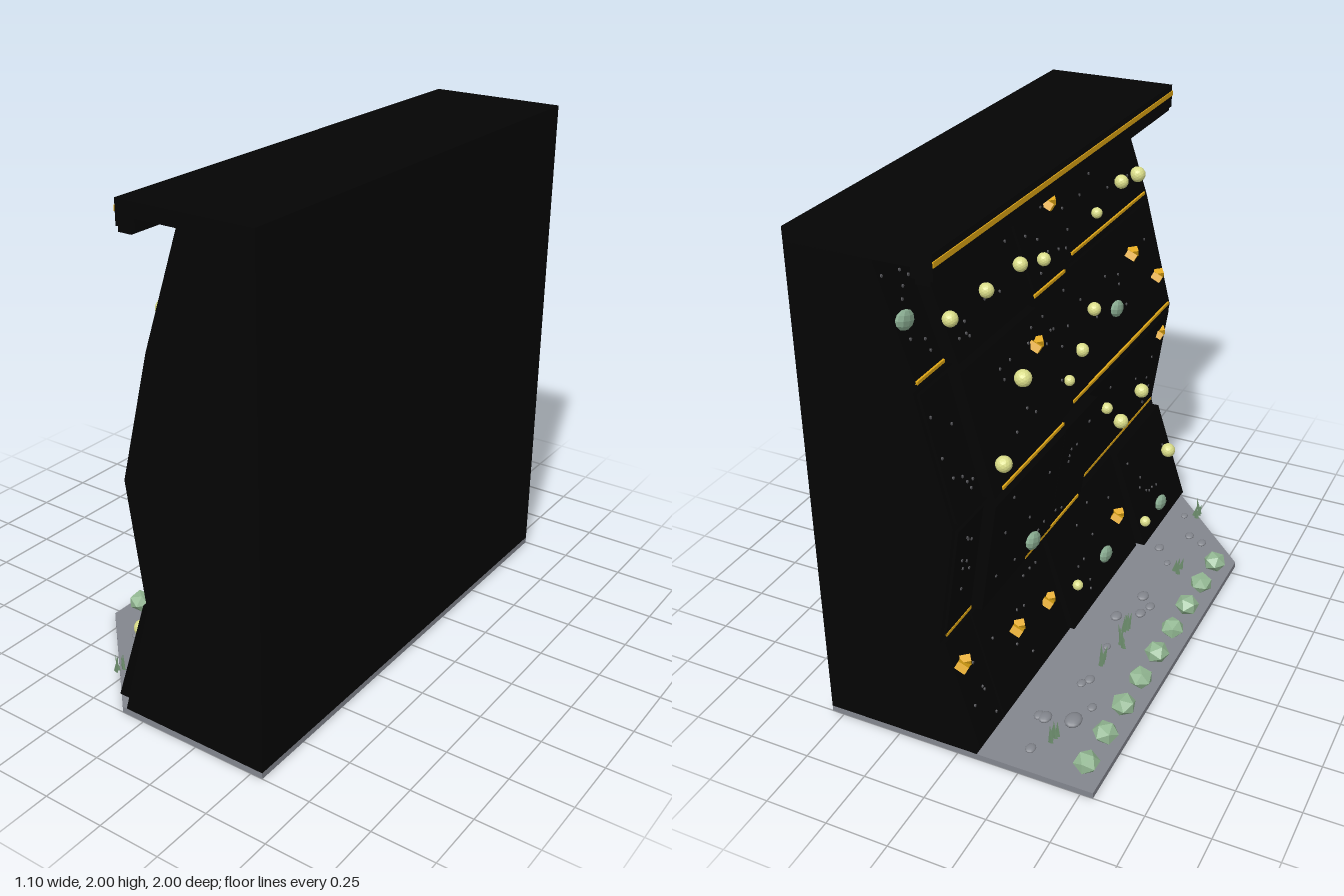
import * as THREE from 'three';

const mat = (name, color, extra = {}) => {
  const m = new THREE.MeshStandardMaterial({ color, ...extra });
  m.name = name;
  return m;
};

// Wall face: [x, y] at every change of slope
const FACE = [[-0.08, 0.025], [0.05, 0.5], [-0.025, 1.0], [0.1, 1.5], [0.25, 1.95]];
function faceX(y) {
  for (let i = 1; i < FACE.length; i++) {
    const [x0, y0] = FACE[i - 1], [x1, y1] = FACE[i];
    if (y <= y1) return x0 + (x1 - x0) * (y - y0) / (y1 - y0);
  }
  return 0.25;
}

// Extrudes an x-y outline along z
function prism(points, z0, z1) {
  const shape = new THREE.Shape(points.map(p => new THREE.Vector2(p[0], p[1])));
  const g = new THREE.ExtrudeGeometry(shape, { depth: z1 - z0, bevelEnabled: false });
  return g.translate(0, 0, z0);
}

export function createModel() {
  const black = mat('wall black', 0x040404);
  const panelBlack = mat('panel black', 0x030303);
  const gold = mat('gold', 0xdfa615, { flatShading: true });
  const lime = mat('pale lime', 0xd9dc88, { flatShading: true });
  const jade = mat('jade', 0x8bae93, { flatShading: true });
  const leaf = mat('bush green', 0x92b792, { flatShading: true });
  const grassGreen = mat('grass green', 0x6c8c6c, { flatShading: true });
  const stone = mat('slab grey', 0x83868e);
  const pebbleGrey = mat('pebble grey', 0x82858c);
  const dotGrey = mat('bolt grey', 0x505054);

  const root = new THREE.Group();
  root.name = 'climbingWall';
  const group = name => {
    const g = new THREE.Group();
    g.name = name;
    root.add(g);
    return g;
  };
  const add = (parent, name, geo, material, x = 0, y = 0, z = 0) => {
    const m = new THREE.Mesh(geo, material);
    m.name = name;
    m.position.set(x, y, z);
    parent.add(m);
    return m;
  };
  const box = (parent, name, material, x0, x1, y0, y1, z0, z1) =>
    add(parent, name, new THREE.BoxGeometry(x1 - x0, y1 - y0, z1 - z0), material,
      (x0 + x1) / 2, (y0 + y1) / 2, (z0 + z1) / 2);

  let seed = 7;
  const rand = () => (seed = (seed * 16807) % 2147483647) / 2147483647;

  // Ground slab with one clipped corner
  const slab = new THREE.Shape([[-0.55, 1], [0.55, 1], [0.55, -1], [-0.1, -1], [-0.55, -0.55]]
    .map(p => new THREE.Vector2(p[0], p[1])));
  const slabGeo = new THREE.ExtrudeGeometry(slab, { depth: 0.025, bevelEnabled: false });
  add(root, 'groundSlab', slabGeo.rotateX(-Math.PI / 2), stone);

  // Wall body and overhanging cap
  add(root, 'wallBody', prism([[0.55, 0.025], [0.55, 1.95], ...FACE.slice().reverse()], -1, 1), black);
  const cap = group('cap');
  box(cap, 'capBoard', black, 0, 0.55, 1.945, 2, -1, 1);
  box(cap, 'capLip', black, 0, 0.08, 1.908, 1.945, -1, 1);
  box(cap, 'capRail', black, 0.01, 0.065, 1.89, 1.908, -1, 1);
  box(cap, 'capStripe', gold, -0.004, 0, 1.955, 1.975, -1, 1);

  // Panels of differing thickness: four rows by four columns
  const panels = group('panels');
  const lowColumns = [[-0.98, -0.8], [-0.79, -0.22], [-0.205, 0.46], [0.475, 0.965]];
  const highColumns = [[-0.98, -0.8], [-0.79, -0.22], [-0.205, 0.09], [0.1, 0.965]];
  const rows = [
    { y0: 0.045, y1: 0.488, columns: lowColumns, depths: [0.01, 0.015, 0.035, 0.068], taper: 0.7 },
    { y0: 0.517, y1: 0.985, columns: highColumns, depths: [0.012, 0.055, 0.05, 0.012], taper: 1 },
    { y0: 1.018, y1: 1.485, columns: highColumns, depths: [0.012, 0.055, 0.018, 0.012], taper: 1 },
    { y0: 1.517, y1: 1.93, columns: highColumns, depths: [0.012, 0.06, 0.06, 0.015], taper: 1 },
  ];
  rows.forEach(({ y0, y1, columns, depths, taper }) => columns.forEach(([z0, z1], c) => {
    const d = depths[c], a = faceX(y0), b = faceX(y1);
    add(panels, 'panel',
      prism([[a + 0.01, y0], [b + 0.01, y1], [b - d * taper, y1], [a - d, y0]], z0, z1), panelBlack);
    // Bolt holes
    for (let i = 0; i < 8; i++) {
      const t = 0.1 + 0.8 * rand();
      const z = z0 + (z1 - z0) * (0.08 + 0.84 * rand());
      const bolt = new THREE.CylinderGeometry(0.006, 0.006, 0.008, 6).rotateZ(Math.PI / 2);
      const x = a + (b - a) * t - d * (1 + (taper - 1) * t);
      add(panels, 'boltHole', bolt, dotGrey, x, y0 + (y1 - y0) * t, z);
    }
  }));

  // Gold strips along the lower edges of some panels: y, z range, panel depth
  const strips = group('goldStrips');
  [[0.52, -0.98, -0.8, 0.012], [0.52, -0.44, 0.05, 0.053], [0.52, 0.2, 0.95, 0.012],
    [1.022, -0.73, -0.23, 0.055], [1.022, -0.06, 0.95, 0.017],
    [1.521, -0.98, -0.8, 0.012], [1.521, -0.22, 0.04, 0.06], [1.521, 0.2, 0.95, 0.015]]
    .forEach(([y, z0, z1, d]) => {
      const x = faceX(y) - d;
      box(strips, 'goldStrip', gold, x - 0.004, x + 0.005, y, y + 0.012, z0, z1);
    });

  // Round holds: x, y, z, radius
  const holds = group('holds');
  [[0.07, 1.68, -0.79, 0.028], [0.08, 1.67, -0.52, 0.028], [0.07, 1.675, -0.28, 0.028],
    [0.05, 1.64, -0.13, 0.026], [0.1, 1.605, 0.46, 0.023], [0.1, 1.655, 0.71, 0.03],
    [0.105, 1.625, 0.9, 0.034], [0.01, 1.29, 0.24, 0.028], [-0.035, 1.335, -0.48, 0.033],
    [-0.01, 1.185, 0.08, 0.028], [-0.085, 1.133, -0.735, 0.031], [-0.025, 1.125, -0.07, 0.022],
    [-0.025, 0.815, 0.3, 0.025], [-0.02, 0.7, 0.7, 0.032], [-0.01, 0.65, 0.49, 0.033],
    [-0.09, 0.312, 0.88, 0.033], [-0.13, 0.15, 0.51, 0.024], [-0.1, 0.23, -0.15, 0.022]]
    .forEach(([x, y, z, r]) => add(holds, 'roundHold', new THREE.IcosahedronGeometry(r, 2), lime, x, y, z));

  // Flat oval holds
  [[0.155, 1.72, -0.93], [0, 1.205, 0.45], [-0.06, 0.64, -0.47], [-0.13, 0.14, 0.7], [-0.11, 0.218, 0.115]]
    .forEach(([x, y, z]) => {
      const m = add(holds, 'ovalHold', new THREE.SphereGeometry(1, 9, 6), jade, x, y, z);
      m.scale.set(0.02, 0.036, 0.053);
      m.rotation.x = 0.3;
    });

  // Jagged holds made of two crossed blocks
  [[0.13, 1.77, 0.07], [0.02, 1.365, 0.64], [-0.005, 1.175, 0.88], [0.01, 1.365, -0.29], [-0.02, 0.9, 0.88],
    [-0.08, 0.285, 0.3], [-0.04, 0.235, -0.31], [-0.035, 0.28, -0.57], [-0.01, 0.38, -0.95]]
    .forEach(([x, y, z]) => {
      const a = add(holds, 'jaggedHold', new THREE.BoxGeometry(0.045, 0.03, 0.06), gold, x, y, z);
      a.rotation.set(0.4, 0.3, 0.4);
      const b = add(holds, 'jaggedHoldTip', new THREE.BoxGeometry(0.04, 0.03, 0.03), gold, x, y + 0.01, z + 0.02);
      b.rotation.set(-0.5, 0.6, 0.2);
    });

  // Row of bushes
  const garden = group('garden');
  for (let i = 0; i < 9; i++) {
    const m = add(garden, 'bush', new THREE.IcosahedronGeometry(0.051, 0), leaf, -0.482, 0.066, -0.905 + i * 0.171);
    m.rotation.y = i * 0.7;
    m.scale.y = 0.85;
  }

  // Pebbles: x, z, radius
  [[-0.25, -0.895, 0.02], [-0.33, -0.69, 0.034], [-0.225, -0.72, 0.026], [-0.2, -0.72, 0.02],
    [-0.365, -0.595, 0.018], [-0.27, -0.485, 0.018], [-0.29, -0.45, 0.02], [-0.27, -0.235, 0.016],
    [-0.225, -0.035, 0.024], [-0.31, 0.025, 0.022], [-0.33, 0.085, 0.02], [-0.275, 0.14, 0.025],
    [-0.28, 0.41, 0.015], [-0.205, 0.505, 0.021], [-0.365, 0.62, 0.02], [-0.295, 0.65, 0.02],
    [-0.215, 0.795, 0.016]].forEach(([x, z, r]) => {
    const m = add(garden, 'pebble', new THREE.SphereGeometry(r, 12, 8), pebbleGrey, x, 0.032, z);
    m.scale.set(1, 0.5, 1.25);
  });

  // Grass tufts of flat blades
  [[-0.31, -0.81], [-0.3, -0.33], [-0.32, -0.19], [-0.3, -0.09], [-0.34, 0.38], [-0.26, 0.83]].forEach(([x, z]) => {
    for (let i = 0; i < 4; i++) {
      const h = 0.06 + 0.035 * rand();
      const blade = new THREE.ConeGeometry(0.011, h, 4).translate(0, h / 2, 0);
      const m = add(garden, 'grassBlade', blade, grassGreen, x + (rand() - 0.5) * 0.03, 0.025, z + (i - 1.5) * 0.014);
      m.rotation.z = (rand() - 0.5) * 0.5;
      m.scale.z = 0.3;
    }
  });

  return root;
}
